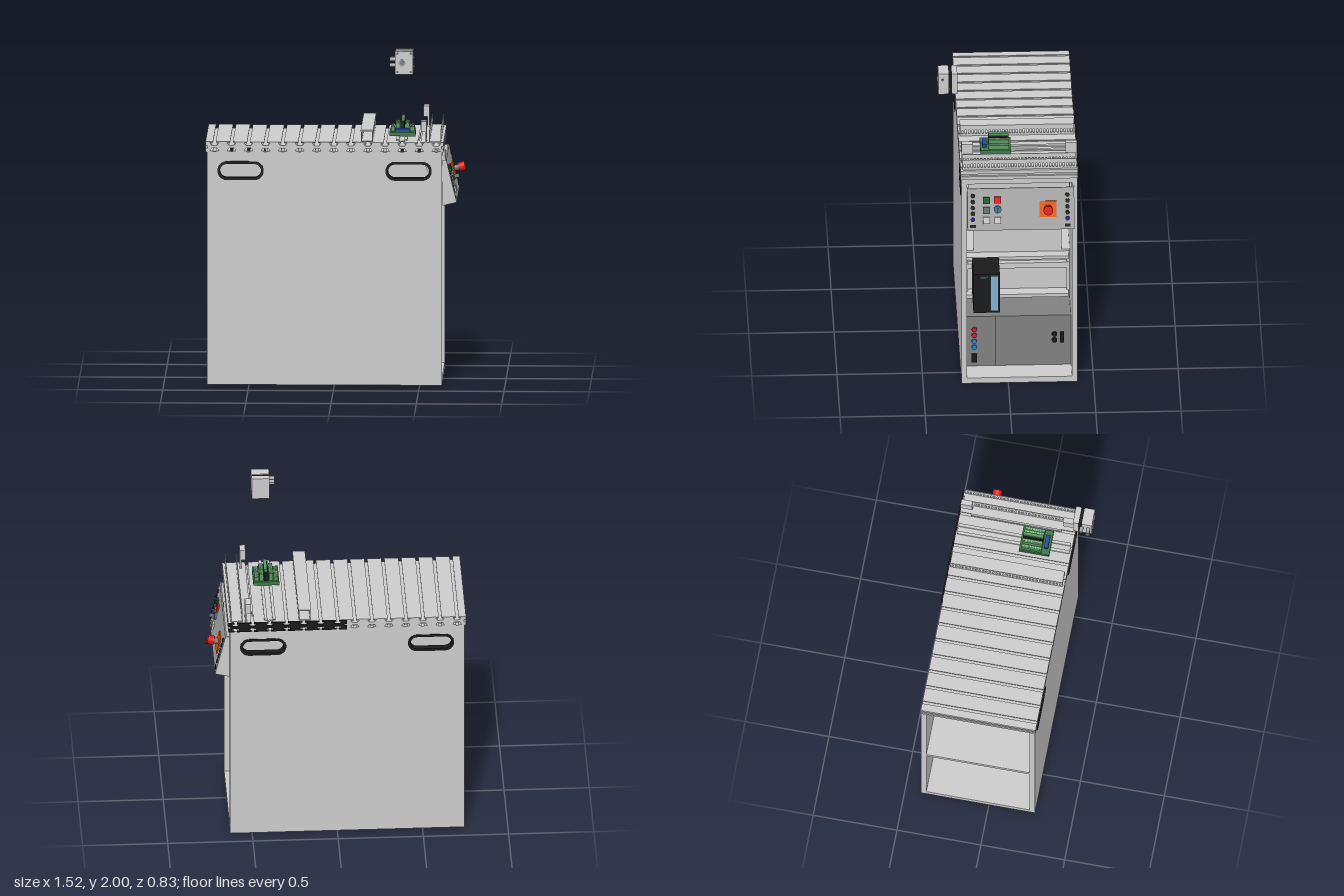
import * as THREE from 'three';

const GREY = 0xcccccc, BLACK = 0x1a1a1a, DARK = 0x777777;
const mats = {};
const mat = (c) => (mats[c] ??= new THREE.MeshStandardMaterial({ color: c }));

function add(parent, name, geo, color = GREY) {
  const m = new THREE.Mesh(geo, mat(color));
  m.name = name;
  parent.add(m);
  return m;
}

// box given by its extents
function box(parent, name, x0, x1, y0, y1, z0, z1, color) {
  const m = add(parent, name, new THREE.BoxGeometry(x1 - x0, y1 - y0, z1 - z0), color);
  m.position.set((x0 + x1) / 2, (y0 + y1) / 2, (z0 + z1) / 2);
  return m;
}

// cylinder along an axis, starting at (x, y, z)
function cyl(parent, name, axis, r, len, x, y, z, color, r2 = r) {
  const g = new THREE.CylinderGeometry(r2, r, len, 24).translate(0, len / 2, 0);
  if (axis === 'x') g.rotateZ(-Math.PI / 2);
  if (axis === 'z') g.rotateX(Math.PI / 2);
  const m = add(parent, name, g, color);
  m.position.set(x, y, z);
  return m;
}

const poly = (pts) => new THREE.Shape(pts.map(([x, y]) => new THREE.Vector2(x, y)));

// extrude an x-y shape from z0 to z1
function slab(parent, name, shape, z0, z1, color) {
  const g = new THREE.ExtrudeGeometry(shape, { depth: z1 - z0, bevelEnabled: false, curveSegments: 16 });
  const m = add(parent, name, g, color);
  m.position.z = z0;
  return m;
}

// stadium outline
function stadium(Type, cx, cy, halfLen, r) {
  const s = new Type();
  s.absarc(cx + halfLen - r, cy, r, -Math.PI / 2, Math.PI / 2);
  s.absarc(cx - halfLen + r, cy, r, Math.PI / 2, Math.PI * 1.5);
  s.closePath();
  return s;
}

// slotted worktop profile between two x positions
function worktopShape(x0, x1) {
  const top = [];
  for (let i = 0; i < 14; i++) {
    const c = -0.703 + i * 0.1;
    if (c - 0.03 < x0 || c + 0.03 > x1) continue;
    for (const [dx, dy] of [[-0.008, 0.03], [-0.008, 0.024], [-0.026, 0.024], [-0.015, 0.008],
      [0.015, 0.008], [0.026, 0.024], [0.008, 0.024], [0.008, 0.03]]) top.push([c + dx, dy]);
  }
  const endR = [[x1, 0.03], [x1, 0.008], [x1 - 0.012, 0.008], [x1 - 0.012, -0.008], [x1, -0.008], [x1, -0.03]];
  const endL = [[x0, -0.03], [x0, -0.008], [x0 + 0.012, -0.008], [x0 + 0.012, 0.008], [x0, 0.008], [x0, 0.03]];
  const bottom = top.map(([x, y]) => [x, -y]).reverse();
  return poly([...top, ...endR, ...bottom, ...endL].map(([x, y]) => [x, y + 1.41]));
}

// cable duct with slotted walls along z
function duct(parent, name, x0, x1, lid) {
  const g = new THREE.Group();
  g.name = name;
  parent.add(g);
  const z0 = -0.4, z1 = 0.27;
  box(g, 'ductFloor', x0, x1, 1.44, 1.446, z0, z1);
  for (const x of [x0, x1 - 0.004]) {
    box(g, 'ductLowerBand', x, x + 0.004, 1.44, 1.454, z0, z1);
    box(g, 'ductUpperBand', x, x + 0.004, 1.478, 1.506, z0, z1);
    for (let i = 0; i < 34; i++) {
      const z = z0 + i * 0.02;
      box(g, 'ductTooth', x, x + 0.004, 1.454, 1.478, z, Math.min(z + 0.011, z1));
    }
  }
  if (lid) box(g, 'ductLid', x0 - 0.003, x1 + 0.003, 1.503, 1.511, z0, z1);
}

function cabinet(root) {
  const g = new THREE.Group();
  g.name = 'cabinet';
  root.add(g);
  const grips = [-0.55, 0.435];
  for (const [z0, z1] of [[0.243, 0.275], [-0.405, -0.373]]) {
    const s = poly([[-0.745, 0], [0.63, 0], [0.63, 1.38], [-0.745, 1.38]]);
    for (const c of grips) s.holes.push(stadium(THREE.Path, c, 1.268, 0.13, 0.05));
    slab(g, 'sidePanel', s, z0, z1);
    for (const c of grips) {
      const rim = stadium(THREE.Shape, c, 1.268, 0.136, 0.056);
      rim.holes.push(stadium(THREE.Path, c, 1.268, 0.12, 0.04));
      slab(g, 'gripRim', rim, z0 - 0.003, z1 + 0.003, BLACK);
    }
  }
  box(g, 'floorPanel', -0.745, 0.63, 0, 0.036, -0.374, 0.244);
  box(g, 'shelf', -0.745, 0.22, 0.645, 0.672, -0.374, 0.244);
  box(g, 'frontTopBeam', 0.6, 0.63, 1.345, 1.38, -0.374, 0.244);
  // divider with cable notches, drawn in z-y
  const d = poly([[-0.373, 0.036], [0.243, 0.036], [0.243, 0.672], [0.19, 0.672], [0.19, 0.93], [0.243, 0.93],
    [0.243, 1.32], [-0.373, 1.32], [-0.373, 0.93], [-0.325, 0.93], [-0.325, 0.672], [-0.373, 0.672]]);
  slab(g, 'divider', d, 0, 0.02).rotation.y = -Math.PI / 2;
  g.getObjectByName('divider').position.set(0.24, 0, 0);
}

function equipment(root) {
  const g = new THREE.Group();
  g.name = 'equipment';
  root.add(g);
  // power box with sockets
  box(g, 'powerBox', 0.24, 0.49, 0.037, 0.37, -0.372, 0.242, 0x808080);
  box(g, 'powerBoxSeam', 0.49, 0.491, 0.04, 0.368, 0.068, 0.071, BLACK);
  [[0.285, 0xd02030], [0.245, 0xd02030], [0.205, 0x2a80d0], [0.165, 0x2a80d0]].forEach(([y, c]) =>
    cyl(g, 'socket', 'x', 0.015, 0.012, 0.488, y, 0.195, c));
  for (const y of [0.245, 0.205]) cyl(g, 'roundConnector', 'x', 0.016, 0.01, 0.488, y, -0.275, BLACK);
  box(g, 'flatConnector', 0.488, 0.498, 0.19, 0.26, -0.332, -0.308, BLACK);
  box(g, 'mainsSwitch', 0.488, 0.498, 0.063, 0.12, 0.18, 0.21, BLACK);
  // mounting rails and controller
  box(g, 'upperRail', 0.24, 0.3, 0.64, 0.66, -0.365, 0.24);
  box(g, 'middleRail', 0.24, 0.27, 0.565, 0.6, -0.365, 0.24);
  box(g, 'lowerRail', 0.24, 0.31, 0.39, 0.412, -0.365, 0.24);
  for (const z of [-0.37, 0.225]) box(g, 'railPost', 0.24, 0.265, 0.39, 0.66, z, z + 0.015);
  box(g, 'controller', 0.27, 0.5, 0.4, 0.66, 0.045, 0.2, BLACK);
  box(g, 'controllerFront', 0.5, 0.508, 0.415, 0.65, 0.053, 0.1, 0x7fb0d0);
  box(g, 'controllerDisplay', 0.5, 0.503, 0.635, 0.645, 0.115, 0.16, 0x407080);
}

function controlPanel(root) {
  const g = new THREE.Group();
  g.name = 'controlPanel';
  root.add(g);
  const side = poly([[0.632, 1.06], [0.715, 1.08], [0.655, 1.33], [0.632, 1.33]]);
  const inner = poly([[0.53, 1.3], [0.565, 1.22], [0.633, 1.2], [0.633, 1.3]]);
  for (const z of [0.23, -0.385]) {
    slab(g, 'panelCheek', side, z, z + 0.012);
    slab(g, 'panelBracket', inner, z < 0 ? -0.372 : 0.23, z < 0 ? -0.36 : 0.242);
  }
  const under = poly([[0.632, 1.06], [0.715, 1.08], [0.712, 1.088], [0.632, 1.068]]);
  slab(g, 'panelUnderside', under, -0.385, 0.242);
  // sloping face with its controls
  const face = new THREE.Group();
  face.name = 'slopingFace';
  face.position.set(0.683, 1.204, 0);
  face.rotation.z = 0.24;
  g.add(face);
  box(face, 'facePlate', -0.006, 0.003, -0.128, 0.128, -0.384, 0.241, 0xaaaaaa);
  const ly = (y) => (y - 1.204) * 1.03;
  [[0.13, 1.26, 0x0f6020], [0.065, 1.26, 0xe02020], [0.13, 1.2, 0x607070],
    [0.13, 1.14, 0xd8d8d8], [0.065, 1.14, 0xd8d8d8]].forEach(([z, y, c]) =>
    box(face, 'pushButton', 0, 0.013, ly(y) - 0.02, ly(y) + 0.02, z - 0.02, z + 0.02, c));
  cyl(face, 'keySwitch', 'x', 0.022, 0.015, 0, ly(1.205), 0.065, 0x4a7088);
  box(face, 'key', 0.015, 0.045, ly(1.205) - 0.012, ly(1.205) + 0.012, 0.063, 0.067, DARK);
  for (const z of [0.21, -0.345]) {
    [1.285, 1.25, 1.215, 1.18, 1.145].forEach((y, i) =>
      cyl(face, 'jack', 'x', 0.013, 0.006, 0.002, ly(y), z, i === 4 ? 0x15157a : BLACK));
    box(face, 'port', 0, 0.006, ly(1.105) - 0.009, ly(1.105) + 0.009, z - 0.017, z + 0.017, BLACK);
  }
  box(face, 'stopPlate', 0, 0.01, ly(1.155), ly(1.25), -0.28, -0.18, 0xe86010);
  cyl(face, 'stopStem', 'x', 0.018, 0.03, 0.01, ly(1.21), -0.23, DARK);
  cyl(face, 'stopButton', 'x', 0.026, 0.04, 0.035, ly(1.21), -0.23, 0xe01810, 0.028);
}

function topParts(root) {
  slab(root, 'worktop', worktopShape(-0.755, 0.64), -0.405, 0.28);
  slab(root, 'worktopEndCover', worktopShape(-0.055, 0.64), -0.416, -0.405, BLACK);
  duct(root, 'lidDuct', 0.157, 0.225, true);
  duct(root, 'openDuct', 0.555, 0.625, false);
  // mounting rail under the terminal board
  box(root, 'railBase', 0.378, 0.412, 1.44, 1.447, -0.4, 0.27);
  for (const x of [0.362, 0.41]) box(root, 'railFlange', x, x + 0.018, 1.447, 1.456, -0.4, 0.27);
  // corner brackets joined by a bar
  box(root, 'bracketBar', 0.49, 0.5, 1.44, 1.456, -0.34, 0.2);
  for (const [z0, z1] of [[0.205, 0.272], [-0.405, -0.338]]) {
    box(root, 'bracketHead', 0.507, 0.54, 1.5, 1.563, z0, z1);
    box(root, 'bracketPost', 0.53, 0.54, 1.44, 1.5, z0, z1);
  }
  // terminal board
  const t = new THREE.Group();
  t.name = 'terminalBoard';
  root.add(t);
  box(t, 'boardCarrier', 0.32, 0.472, 1.458, 1.482, -0.022, 0.158, 0x3a7a48);
  for (const s of [-1, 1]) {
    for (let i = 0; i < 2; i++) {
      const x = 0.396 + s * (0.028 + i * 0.028), h = 1.53 - i * 0.022;
      box(t, 'terminalRow', x - 0.012, x + 0.012, 1.48, h, -0.01, 0.11, 0x5a9a62);
      for (let k = 0; k < 8; k++)
        cyl(t, 'terminalScrew', 'y', 0.0045, 0.003, x, h, k * 0.0145, 0xa0c8a0);
    }
  }
  box(t, 'boardRelay', 0.383, 0.408, 1.48, 1.545, -0.01, 0.11, BLACK);
  box(t, 'boardPlug', 0.39, 0.41, 1.545, 1.56, -0.01, 0.11, 0x5a9a62);
  box(t, 'blueTerminal', 0.355, 0.437, 1.48, 1.5, 0.12, 0.145, 0x2848a0);
}

// separate valve unit above the bench
function valveUnit(root) {
  const g = new THREE.Group();
  g.name = 'valveUnit';
  root.add(g);
  box(g, 'valveFrontBody', 0.36, 0.465, 1.862, 1.998, 0.345, 0.405);
  box(g, 'valveGasket', 0.364, 0.461, 1.866, 1.994, 0.325, 0.345, BLACK);
  box(g, 'valveBackBody', 0.36, 0.465, 1.862, 1.998, 0.293, 0.325);
  cyl(g, 'valveBoss', 'z', 0.02, 0.006, 0.4, 1.93, 0.404, 0x999999);
  cyl(g, 'valveBore', 'z', 0.011, 0.003, 0.4, 1.93, 0.409, DARK);
  for (const x of [0.373, 0.452]) for (const y of [1.876, 1.984])
    cyl(g, 'valveScrew', 'z', 0.007, 0.004, x, y, 0.404, DARK);
  for (const [y, z] of [[1.948, 0.385], [1.915, 0.385], [1.948, 0.345]])
    cyl(g, 'hoseFitting', 'x', 0.011, 0.033, 0.328, y, z, 0xaaaaaa);
  for (const [y, z] of [[1.96, 0.38], [1.9, 0.34]]) cyl(g, 'sidePin', 'x', 0.006, 0.01, 0.464, y, z, DARK);
}

export function createModel() {
  const root = new THREE.Group();
  root.name = 'workstation';
  cabinet(root);
  equipment(root);
  controlPanel(root);
  topParts(root);
  valveUnit(root);
  return root;
}
